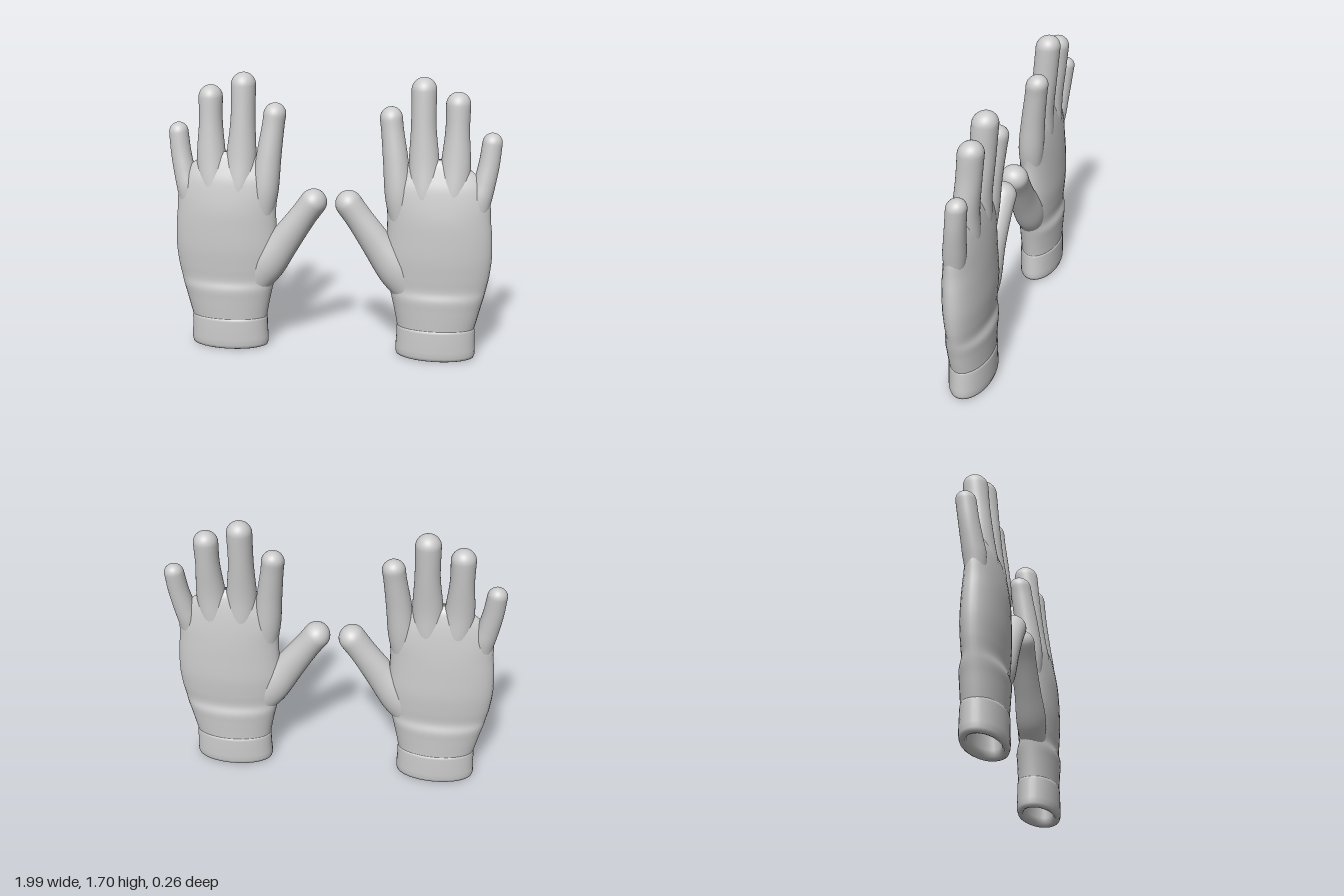
import * as THREE from 'three';

const SIDES = 36;

// Skin a list of elliptical rings {c: centre, u: width direction, rx, rz}
function skin(name, rings, side) {
  const pos = [], index = [];
  for (const { c, u, rx, rz } of rings) {
    for (let j = 0; j < SIDES; j++) {
      const a = (j / SIDES) * Math.PI * 2, w = rx * Math.cos(a);
      pos.push(side * (c.x + u.x * w), c.y + u.y * w, c.z + rz * Math.sin(a));
    }
  }
  for (let i = 0; i < rings.length - 1; i++) {
    for (let j = 0; j < SIDES; j++) {
      const k = (j + 1) % SIDES;
      const a = i * SIDES + j, b = i * SIDES + k, c = a + SIDES, d = b + SIDES;
      if (side > 0) index.push(a, c, b, b, c, d);
      else index.push(a, b, c, b, d, c);
    }
  }
  const geo = new THREE.BufferGeometry();
  geo.setAttribute('position', new THREE.Float32BufferAttribute(pos, 3));
  geo.setIndex(index);
  geo.computeVertexNormals();
  const mesh = new THREE.Mesh(geo, new THREE.MeshStandardMaterial({ color: 0xcccccc, side: THREE.DoubleSide }));
  mesh.name = name;
  return mesh;
}

// Level ring from its extents: [y, xMin, xMax, zMin, zMax]
const level = ([y, x0, x1, z0, z1]) => ({
  c: new THREE.Vector3((x0 + x1) / 2, y, (z0 + z1) / 2),
  u: new THREE.Vector3(1, 0, 0),
  rx: (x1 - x0) / 2,
  rz: (z1 - z0) / 2,
});

// Smooth rings through key rings
function smoothRings(keys, steps) {
  const centres = new THREE.CatmullRomCurve3(keys.map(k => k.c));
  const radii = new THREE.CatmullRomCurve3(keys.map((k, i) => new THREE.Vector3(k.rx, k.rz, i)));
  return Array.from({ length: steps + 1 }, (_, i) => {
    const t = i / steps, r = radii.getPoint(t), d = centres.getTangent(t);
    return { c: centres.getPoint(t), d, u: new THREE.Vector3(1, 0, 0), rx: r.x, rz: r.y };
  });
}

// Tapering finger with a round tip; points are [x, y, z, rx, rz]
function finger(name, points, side) {
  const keys = points.map(([x, y, z, rx, rz]) => ({ c: new THREE.Vector3(x, y, z), rx, rz }));
  const rings = smoothRings(keys, 24);
  for (const r of rings) r.u = new THREE.Vector3(r.d.y, -r.d.x, 0).normalize();
  const end = rings[rings.length - 1];
  for (let i = 1; i <= 9; i++) {
    const a = (i / 9) * Math.PI / 2, s = Math.max(Math.cos(a), 0.001);
    rings.push({
      c: end.c.clone().addScaledVector(end.d, end.rx * Math.sin(a)),
      u: end.u, rx: end.rx * s, rz: end.rz * s,
    });
  }
  return skin(name, rings, side);
}

// Hollow cuff: down the inside, round the rim, up the outside
const CUFF = [
  [0.30, 0.639, 0.641, -0.001, 0.001],
  [0.30, 0.49, 0.79, -0.07, 0.07],
  [0.27, 0.46, 0.82, -0.08, 0.08],
  [0.05, 0.46, 0.82, -0.08, 0.08],
  [0.02, 0.452, 0.828, -0.085, 0.085],
  [0.005, 0.438, 0.842, -0.095, 0.095],
  [0, 0.42, 0.86, -0.11, 0.11],
  [0.006, 0.405, 0.875, -0.12, 0.12],
  [0.025, 0.398, 0.881, -0.126, 0.126],
  [0.06, 0.398, 0.881, -0.127, 0.127],
  [0.12, 0.402, 0.877, -0.126, 0.126],
  [0.18, 0.402, 0.876, -0.125, 0.125],
  [0.195, 0.405, 0.873, -0.123, 0.123],
  [0.205, 0.42, 0.86, -0.11, 0.11],
];

// Wrist, fold, palm and knuckles
const PALM = [
  [0.17, 0.408, 0.868, -0.119, 0.119],
  [0.24, 0.396, 0.886, -0.121, 0.123],
  [0.32, 0.38, 0.905, -0.124, 0.127],
  [0.385, 0.365, 0.922, -0.125, 0.129],
  [0.44, 0.352, 0.934, -0.108, 0.115],
  [0.52, 0.338, 0.95, -0.113, 0.119],
  [0.64, 0.328, 0.962, -0.119, 0.125],
  [0.78, 0.335, 0.958, -0.114, 0.123],
  [0.88, 0.337, 0.947, -0.108, 0.118],
  [0.98, 0.33, 0.94, -0.098, 0.104],
  [1.07, 0.35, 0.91, -0.085, 0.086],
  [1.14, 0.40, 0.86, -0.07, 0.06],
  [1.20, 0.45, 0.78, -0.05, 0.035],
  [1.23, 0.54, 0.70, -0.02, 0.01],
];

const FINGERS = {
  indexFinger: [
    [0.42, 0.82, 0.01, 0.06, 0.06], [0.402, 1.0, 0.005, 0.08, 0.078], [0.381, 1.2, -0.012, 0.075, 0.073],
    [0.357, 1.38, -0.035, 0.067, 0.068], [0.347, 1.458, -0.045, 0.067, 0.068],
  ],
  middleFinger: [
    [0.56, 0.82, 0.02, 0.07, 0.07], [0.555, 1.0, 0.006, 0.092, 0.09], [0.547, 1.2, -0.01, 0.09, 0.077],
    [0.538, 1.42, -0.032, 0.074, 0.075], [0.535, 1.628, -0.05, 0.074, 0.075],
  ],
  ringFinger: [
    [0.71, 0.82, 0.02, 0.07, 0.07], [0.72, 1.0, 0.005, 0.09, 0.088], [0.732, 1.2, -0.01, 0.087, 0.075],
    [0.735, 1.4, -0.032, 0.071, 0.072], [0.735, 1.55, -0.045, 0.072, 0.073],
  ],
  littleFinger: [
    [0.86, 0.84, 0.01, 0.055, 0.05], [0.881, 1.0, 0, 0.066, 0.066], [0.903, 1.1, -0.012, 0.064, 0.063],
    [0.924, 1.21, -0.026, 0.061, 0.059], [0.938, 1.332, -0.04, 0.058, 0.058],
  ],
  thumb: [
    [0.48, 0.40, 0.01, 0.085, 0.07], [0.395, 0.54, 0.012, 0.112, 0.09], [0.28, 0.70, 0.015, 0.095, 0.08],
    [0.175, 0.848, 0.014, 0.082, 0.08], [0.107, 0.942, 0.013, 0.081, 0.086],
  ],
};

function glove(name, side) {
  const group = new THREE.Group();
  group.name = name;
  group.add(skin('cuff', CUFF.map(level), side));
  group.add(skin('palm', smoothRings(PALM.map(level), 60), side));
  for (const [part, points] of Object.entries(FINGERS)) group.add(finger(part, points, side));
  return group;
}

export function createModel() {
  const model = new THREE.Group();
  model.name = 'gloves';
  model.add(glove('leftGlove', 1), glove('rightGlove', -1));
  return model;
}
